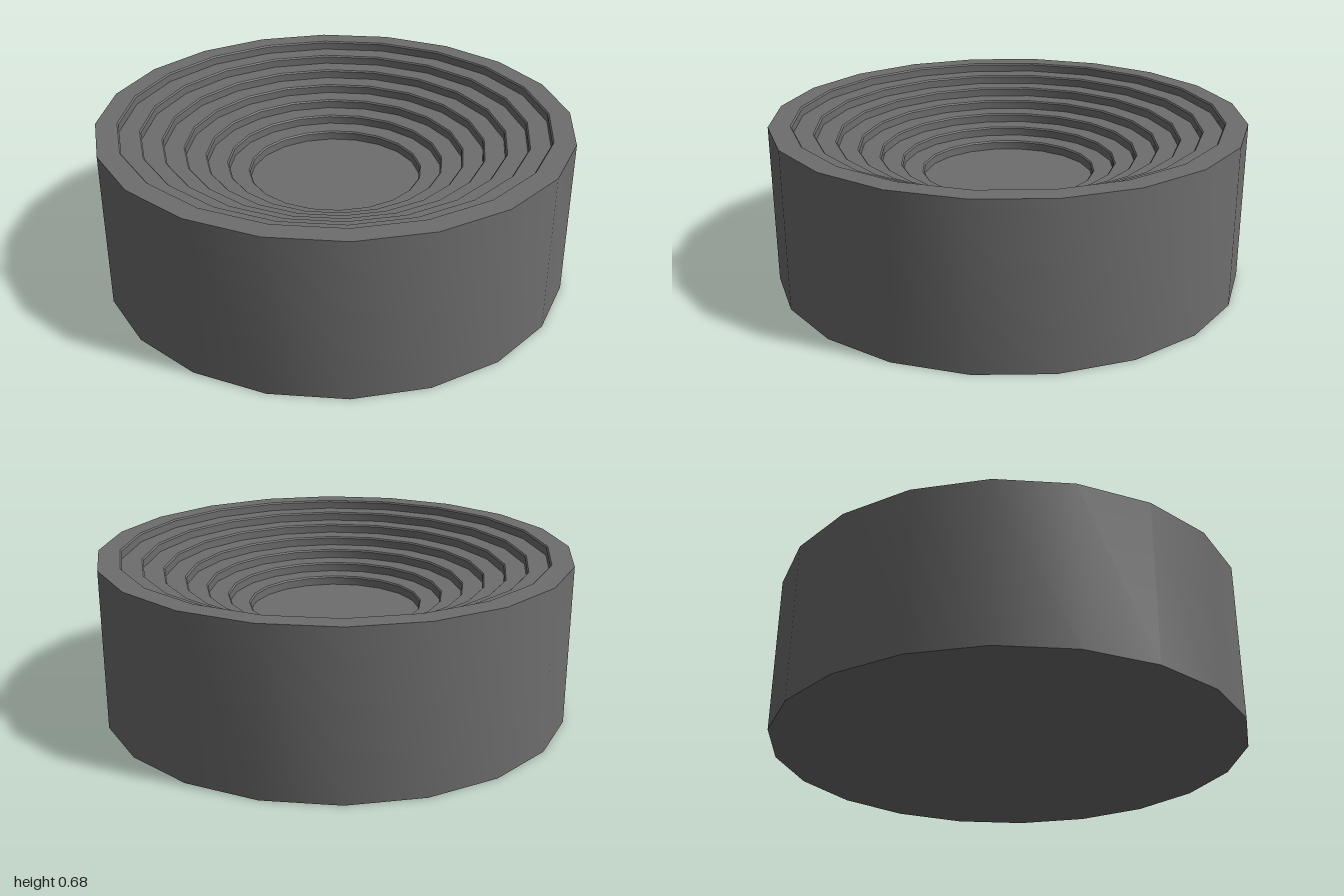
import * as THREE from 'three';
import { toCreasedNormals } from 'three/addons/utils/BufferGeometryUtils.js';

const SIDES = 20;
const HEIGHT = 0.68;
const STEPS = 7;
const TREAD = 0.09;    // width of each ring
const RISE = 0.039;    // drop between rings
const CHAMFER = 0.006; // small bevel at the lip of each step

export function createModel() {
  const group = new THREE.Group();
  group.name = 'steppedBowl';

  // Underside and outer wall, then rings stepping down to the floor
  const profile = [new THREE.Vector2(0, 0), new THREE.Vector2(1, 0), new THREE.Vector2(1, HEIGHT)];
  for (let i = 1; i <= STEPS; i++) {
    const r = 1 - i * TREAD;
    const top = HEIGHT - (i - 1) * RISE;
    profile.push(
      new THREE.Vector2(r, top),
      new THREE.Vector2(r - CHAMFER, top - CHAMFER),
      new THREE.Vector2(r - CHAMFER, top - RISE)
    );
  }
  profile.push(new THREE.Vector2(0, HEIGHT - STEPS * RISE));

  // Smooth around the walls, sharp at every step
  const geometry = toCreasedNormals(new THREE.LatheGeometry(profile, SIDES), Math.PI / 6);
  const body = new THREE.Mesh(geometry, new THREE.MeshStandardMaterial({ color: 0x6e6e6e }));
  body.name = 'steppedBody';
  group.add(body);
  return group;
}
